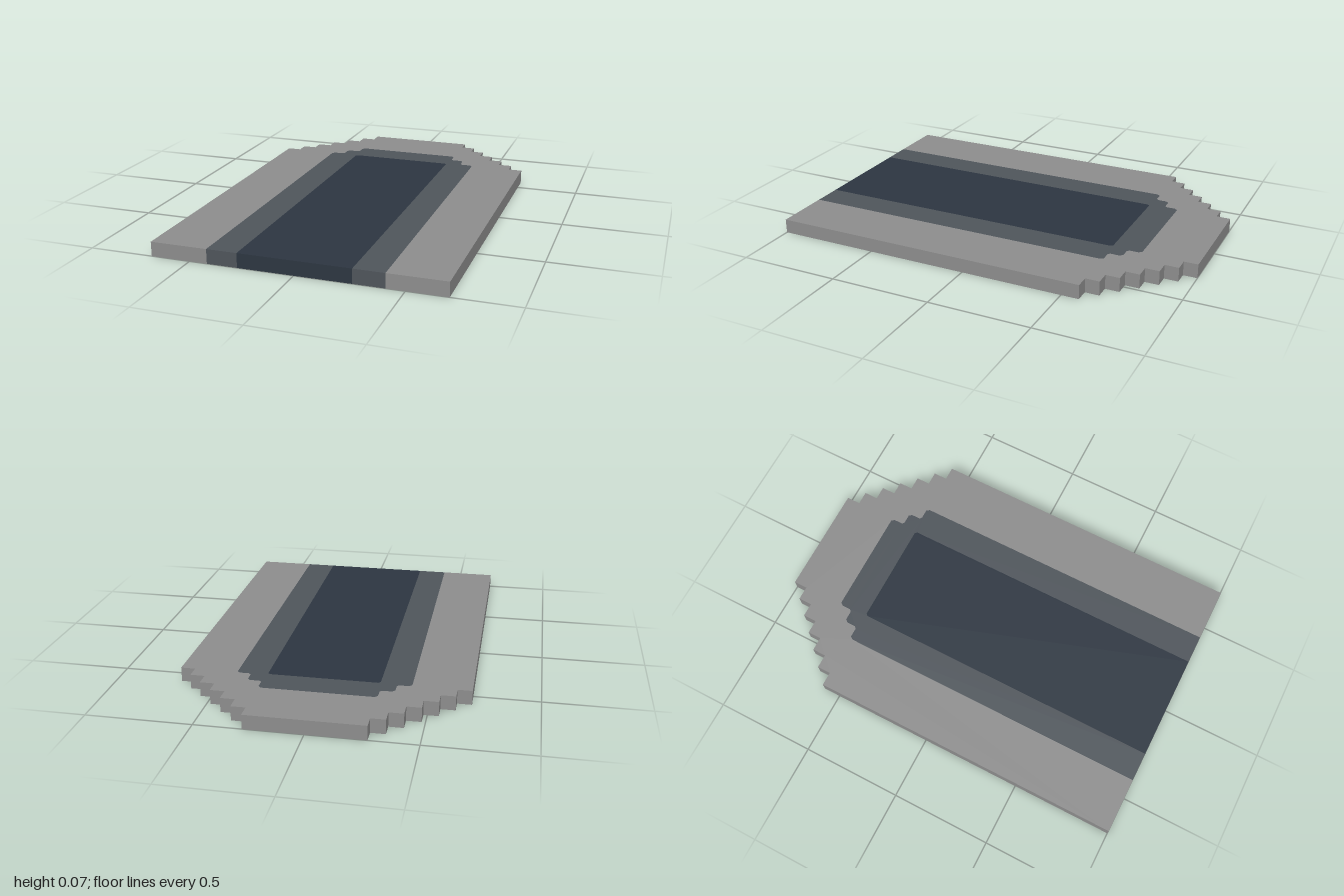
import * as THREE from 'three';

const U = 2 / 29;      // one stair step
const HEIGHT = 0.07;

const material = (name, color) => {
  const m = new THREE.MeshStandardMaterial({ color });
  m.name = name;
  return m;
};

// Mirror a right-hand profile of [x, z] points into a full arch outline
const arch = (half) => [...half, ...half.map(([x, z]) => [-x, z]).reverse()];

// Flat slab filling an arch, less the smaller arch that is set into it
function slab(name, outer, inner, mat) {
  const points = [...outer, ...[...inner].reverse()];
  const shape = new THREE.Shape(points.map(([x, z]) => new THREE.Vector2(x, -z)));
  const geometry = new THREE.ExtrudeGeometry(shape, { depth: HEIGHT, bevelEnabled: false });
  geometry.rotateX(-Math.PI / 2);
  const mesh = new THREE.Mesh(geometry, mat);
  mesh.name = name;
  return mesh;
}

export function createModel() {
  const group = new THREE.Group();
  group.name = 'steppedArchPanel';

  // Outer edge: six square stair steps on each shoulder
  const outerHalf = [[10 * U, 1]];
  for (let i = 0; i < 6; i++) {
    const z = -1 + (6 - i) * U;
    outerHalf.push([(10 - i) * U, z], [(9 - i) * U, z]);
  }
  outerHalf.push([4 * U, -1]);

  // Middle edge: two shoulder steps with softened corners
  const c = 0.012;
  const middleHalf = [[6 * U, 1]];
  for (let i = 0; i < 2; i++) {
    const x = (6 - i) * U, z = -1 + (6 - i) * U;
    middleHalf.push([x, z + c], [x - c, z - 0.003], [x - U + c, z - 0.003], [x - U, z - c]);
  }
  middleHalf.push([4 * U, -1 + 4 * U + c], [4 * U - c, -1 + 4 * U - 0.003]);

  // Inner edge: plain strip with slightly clipped corners
  const innerHalf = [[0.267, 1], [0.267, -0.57], [0.257, -0.58]];

  const outer = arch(outerHalf), middle = arch(middleHalf), inner = arch(innerHalf);
  group.add(
    slab('outerFrame', outer, middle, material('stone grey', 0x8c8c8c)),
    slab('innerBorder', middle, inner, material('slate grey', 0x4e545a)),
    slab('centrePanel', inner, [], material('dark navy', 0x2c3540)),
  );
  return group;
}
